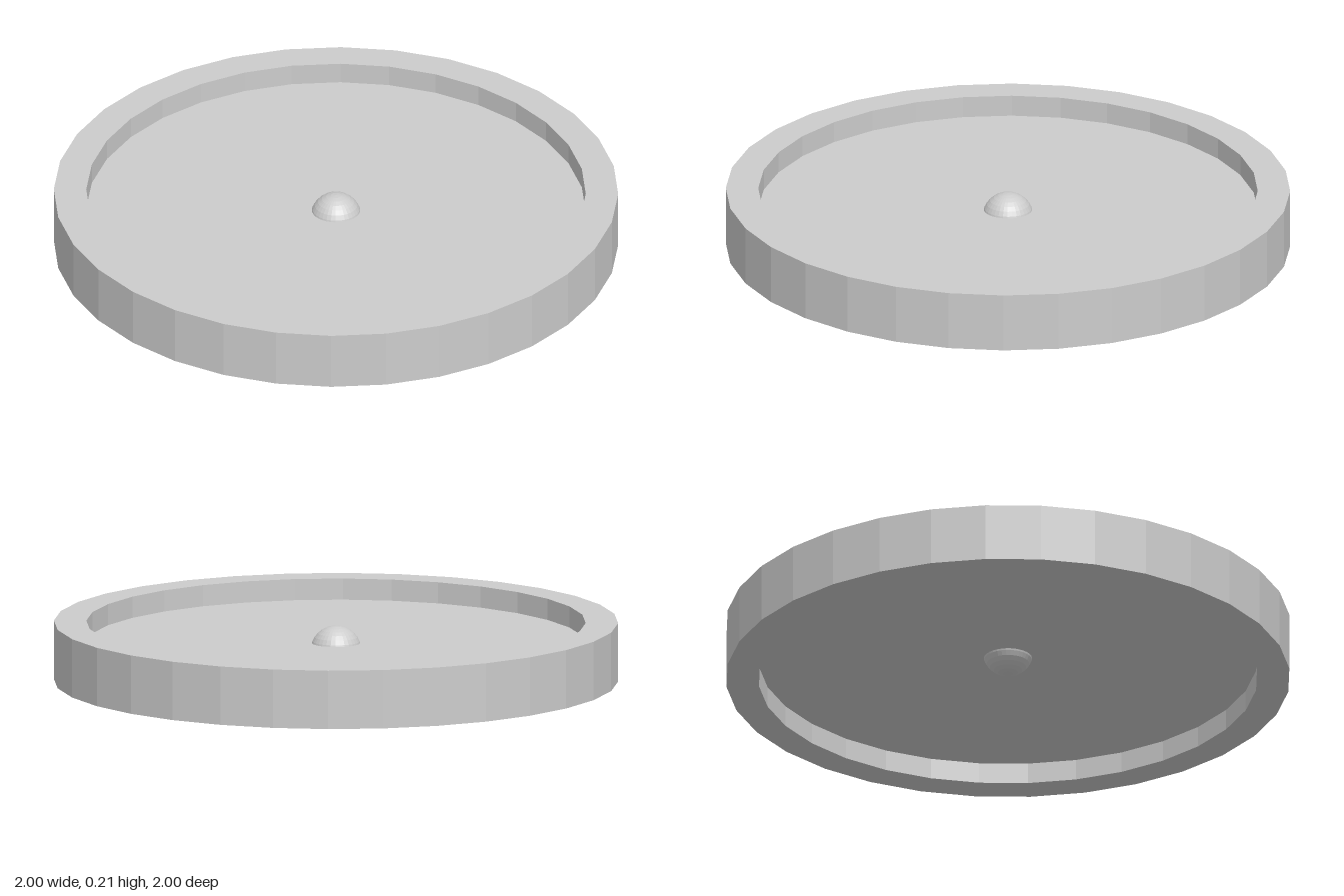
import * as THREE from 'three';

const SIDES = 32;
const HEIGHT = 0.21;
const INNER = 0.885;

export function createModel() {
  const model = new THREE.Group();
  model.name = 'wheel';
  const grey = new THREE.MeshStandardMaterial({ color: 0xcccccc, flatShading: true });
  grey.name = 'light grey';

  const add = (name, geometry, y) => {
    const mesh = new THREE.Mesh(geometry, grey);
    mesh.name = name;
    mesh.position.y = y;
    model.add(mesh);
  };

  // Rim: rectangular section swept round the axis
  const section = [[1, 0], [1, HEIGHT], [INNER, HEIGHT], [INNER, 0], [1, 0]]
    .map(([r, y]) => new THREE.Vector2(r, y));
  add('rim', new THREE.LatheGeometry(section, SIDES), 0);

  // Web: thin disc halfway up, recessed on both faces
  add('web', new THREE.CylinderGeometry(INNER, INNER, 0.058, SIDES), HEIGHT / 2);

  // Hub: small ball showing on both faces
  add('hub', new THREE.SphereGeometry(0.091, 32, 16), HEIGHT / 2);

  return model;
}
